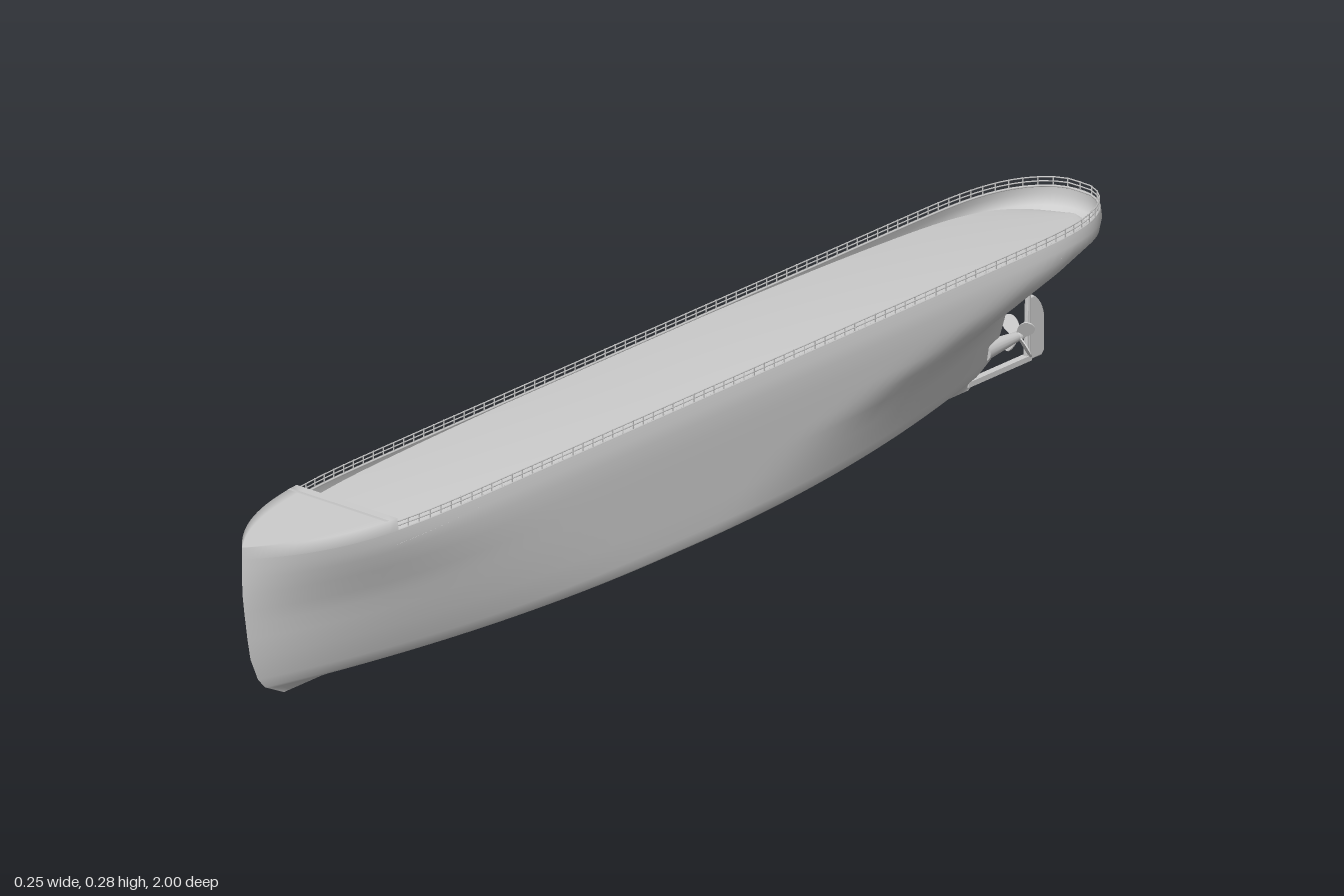
import * as THREE from 'three';

const grey = new THREE.MeshStandardMaterial({ color: 0xcccccc, side: THREE.DoubleSide });

// Waterlines: height, half beam, stern z, bow z, run length, run roundness, entry length, entry power
const LINES = [
  [0.000, 0.000, -0.73, 0.90, 0.80, 1.0, 0.80, 2.0],
  [0.017, 0.116, -0.75, 0.935, 0.80, 1.0, 0.80, 2.0],
  [0.022, 0.121, -0.76, 0.945, 0.80, 1.0, 0.80, 2.1],
  [0.040, 0.123, -0.79, 0.962, 0.78, 1.0, 0.78, 2.2],
  [0.080, 0.123, -0.81, 0.980, 0.74, 1.0, 0.75, 2.4],
  [0.115, 0.123, -0.825, 0.987, 0.66, 1.1, 0.72, 2.6],
  [0.140, 0.123, -0.845, 0.991, 0.58, 1.25, 0.70, 2.7],
  [0.165, 0.123, -0.885, 0.995, 0.50, 1.5, 0.67, 2.9],
  [0.195, 0.123, -0.945, 0.999, 0.42, 1.8, 0.63, 3.3],
  [0.222, 0.122, -0.995, 1.000, 0.35, 2.0, 0.59, 3.7],
  [0.240, 0.119, -1.000, 1.000, 0.32, 2.0, 0.56, 4.0],
  [0.255, 0.115, -1.000, 1.000, 0.32, 2.0, 0.55, 4.3],
  [0.275, 0.111, -1.000, 1.000, 0.32, 2.0, 0.55, 4.6]
];

function lineAt(y) {
  let i = 0;
  while (i < LINES.length - 2 && y > LINES[i + 1][0]) i++;
  const a = LINES[i], b = LINES[i + 1], t = (y - a[0]) / (b[0] - a[0]);
  return a.map((v, k) => v + (b[k] - v) * t);
}

// Half breadth of the hull at height y and station z
function halfBeam(y, z) {
  const [, w, zs, zb, runL, round, entryL, power] = lineAt(y);
  const s = THREE.MathUtils.clamp((z - zs) / runL, 0, 1);
  const b = THREE.MathUtils.clamp((zb - z) / entryL, 0, 1);
  const run = Math.pow(1 - Math.pow(1 - s, 2 + (round - 1) * 2), 1 / round);
  return w * run * (1 - Math.pow(1 - b, power));
}

// Surface through a grid of points fn(row, column)
function grid(name, rows, cols, fn) {
  const pos = [], idx = [];
  for (let i = 0; i <= rows; i++)
    for (let j = 0; j <= cols; j++) pos.push(...fn(i, j));
  for (let i = 0; i < rows; i++)
    for (let j = 0; j < cols; j++) {
      const a = i * (cols + 1) + j, c = a + cols + 1;
      idx.push(a, a + 1, c, a + 1, c + 1, c);
    }
  const g = new THREE.BufferGeometry();
  g.setAttribute('position', new THREE.Float32BufferAttribute(pos, 3));
  g.setIndex(idx);
  g.computeVertexNormals();
  return part(name, g);
}

function part(name, geometry, x = 0, y = 0, z = 0) {
  const m = new THREE.Mesh(geometry, grey);
  m.name = name;
  m.position.set(x, y, z);
  return m;
}

export function createModel() {
  const ship = new THREE.Group();
  ship.name = 'ship';

  // Hull: each waterline runs bow, right side, stern, left side, bow
  const N = 160;
  ship.add(grid('hull', LINES.length - 2, N, (i, j) => {
    const [y, , zs, zb] = LINES[i];
    const u = j / N * 2, side = j <= N / 2 ? -1 : 1;
    const z = zb + (zs - zb) * (1 - Math.cos(Math.PI * u)) / 2;
    return [side * halfBeam(y, z), y, z];
  }));

  // Main deck: cambered, dropping below the bulwarks towards both ends
  const deckY = z => 0.25 - 0.036 * Math.pow(Math.abs(z), 2.5);
  ship.add(grid('mainDeck', 60, 10, (i, j) => {
    const t = i / 60, z = -0.982 + 1.735 * (1 - Math.cos(Math.PI * t)) / 2;
    const s = 1 - j / 5, y = deckY(z);
    return [s * halfBeam(y, z), y + 0.005 * (1 - s * s), z];
  }));

  // Raised bow: side walls and deck as one skin
  ship.add(grid('foredeck', 24, 12, (i, j) => {
    const z = 0.75 + 0.25 * Math.sin(Math.PI / 2 * i / 24);
    const edge = j === 0 || j === 12;
    const y = edge ? 0.255 : 0.275;
    const s = edge ? (j === 0 ? 1 : -1) : 1 - (j - 1) / 5;
    return [s * halfBeam(y, z), y, z];
  }));

  // Bulkhead at the break of the foredeck, rounded at its top
  const step = [[0.775, 0.276], [0.758, 0.274], [0.751, 0.268], [0.75, 0.255], [0.75, 0.205]];
  ship.add(grid('bulkhead', step.length - 1, 8, (i, j) => {
    const [z, y] = step[i];
    return [(1 - j / 4) * halfBeam(Math.min(y, 0.275), z), y, z];
  }));

  // Railing around the main deck
  const rail = new THREE.Group();
  rail.name = 'railing';
  const rim = y => {
    const pts = [];
    for (let j = -40; j <= 40; j++) {
      const z = -0.996 + 1.746 * (1 - Math.cos(Math.PI / 2 * j / 40));
      pts.push(new THREE.Vector3(Math.sign(j) * Math.max(0, halfBeam(0.255, z) - 0.003), y, z));
    }
    return new THREE.CatmullRomCurve3(pts);
  };
  for (const y of [0.262, 0.269])
    rail.add(part('rail', new THREE.TubeGeometry(rim(y), 160, 0.0012, 5)));
  rail.add(part('gunwale', new THREE.TubeGeometry(rim(0.254), 160, 0.002, 6)));
  const post = new THREE.CylinderGeometry(0.0012, 0.0012, 0.016, 5);
  for (const p of rim(0.262).getSpacedPoints(150)) rail.add(part('railPost', post, p.x, p.y, p.z));
  ship.add(rail);

  // Stern gear: sole piece, shaft boss, propeller and rudder
  ship.add(part('solePiece', new THREE.BoxGeometry(0.012, 0.009, 0.15), 0, 0.012, -0.8));
  const boss = part('shaftBoss', new THREE.CylinderGeometry(0.016, 0.008, 0.08, 16), 0, 0.055, -0.805);
  boss.rotation.x = Math.PI / 2;
  ship.add(boss);

  const propeller = new THREE.Group();
  propeller.name = 'propeller';
  propeller.position.set(0, 0.055, -0.85);
  const hub = part('hub', new THREE.SphereGeometry(0.009, 16, 10));
  hub.scale.z = 1.4;
  propeller.add(hub);
  const bladeShape = new THREE.Shape();
  bladeShape.moveTo(-0.004, 0);
  bladeShape.bezierCurveTo(-0.018, 0.02, -0.014, 0.038, 0, 0.039);
  bladeShape.bezierCurveTo(0.014, 0.038, 0.016, 0.02, 0.004, 0);
  const blade = new THREE.ExtrudeGeometry(bladeShape, { depth: 0.002, bevelEnabled: false });
  blade.rotateY(0.6);
  for (let k = 0; k < 4; k++) {
    const b = part('blade', blade);
    b.rotation.z = k * Math.PI / 2 + Math.PI / 4;
    propeller.add(b);
  }
  ship.add(propeller);

  const rudderShape = new THREE.Shape();
  rudderShape.moveTo(0.866, 0.01);
  rudderShape.lineTo(0.9, 0.01);
  rudderShape.lineTo(0.905, 0.016);
  rudderShape.lineTo(0.905, 0.075);
  rudderShape.quadraticCurveTo(0.9, 0.1, 0.882, 0.112);
  rudderShape.lineTo(0.87, 0.112);
  const rudder = new THREE.ExtrudeGeometry(rudderShape, {
    depth: 0.004, bevelSize: 0.002, bevelThickness: 0.002, bevelSegments: 2
  });
  rudder.translate(0, 0, -0.002);
  rudder.rotateY(Math.PI / 2);
  ship.add(part('rudder', rudder));
  ship.add(part('rudderStock', new THREE.CylinderGeometry(0.005, 0.005, 0.16, 10), 0, 0.09, -0.872));

  return ship;
}
